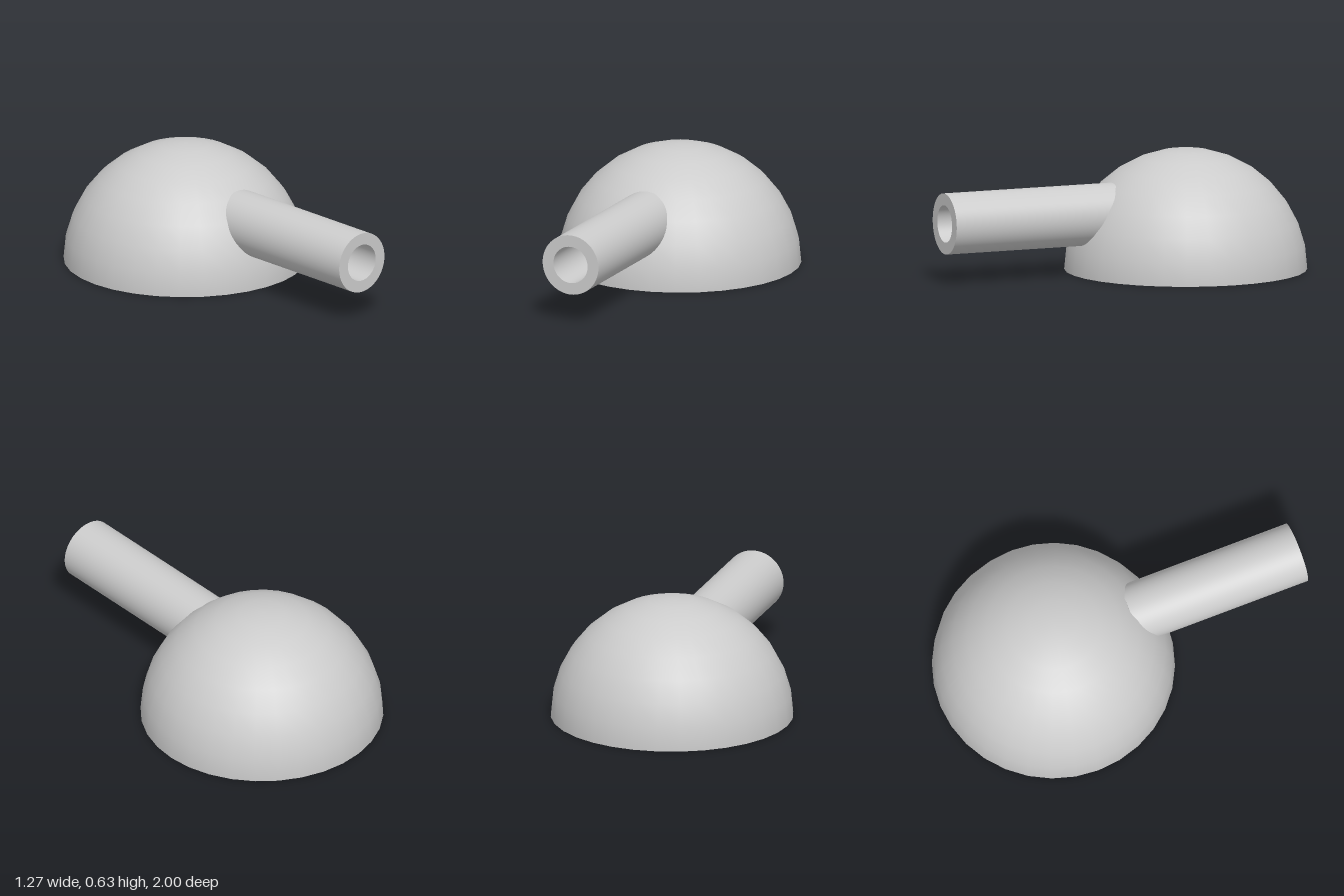
import * as THREE from 'three';

const R = 0.634;            // dome radius
const DOME_Z = -0.366;      // dome centre
const OUTER = 0.16, BORE = 0.098;
const BACK = 0.05, FRONT = 1, FLOOR = 0.06;
const AXIS_Y = 0.317;

export function createModel() {
  const model = new THREE.Group();
  model.name = 'domeTurret';
  const add = (name, geometry, side = THREE.FrontSide) => {
    const mesh = new THREE.Mesh(geometry, new THREE.MeshStandardMaterial({ color: 0xcccccc, side }));
    mesh.name = name;
    model.add(mesh);
    return mesh;
  };

  // Thin open hemispherical shell
  add('dome', new THREE.SphereGeometry(R, 32, 8, 0, Math.PI * 2, 0, Math.PI / 2), THREE.DoubleSide)
    .position.z = DOME_Z;

  // Barrel parts lie along z
  const barrel = new THREE.Group();
  barrel.name = 'barrel';
  barrel.position.y = AXIS_Y;
  model.add(barrel);

  const tube = (name, radius, from, to, side) => {
    const g = new THREE.CylinderGeometry(radius, radius, to - from, 64, 1, true);
    g.rotateX(Math.PI / 2).translate(0, 0, (from + to) / 2);
    barrel.add(add(name, g, side));
  };
  tube('barrelWall', OUTER, BACK, FRONT, THREE.FrontSide);
  tube('bore', BORE, FLOOR, FRONT, THREE.BackSide);

  // Muzzle ring, bore floor and closed inner end
  barrel.add(add('muzzleRing', new THREE.RingGeometry(BORE, OUTER, 64).translate(0, 0, FRONT)));
  barrel.add(add('boreFloor', new THREE.CircleGeometry(BORE, 64).translate(0, 0, FLOOR)));
  barrel.add(add('barrelBackCap', new THREE.CircleGeometry(OUTER, 64).rotateY(Math.PI).translate(0, 0, BACK)));

  return model;
}
